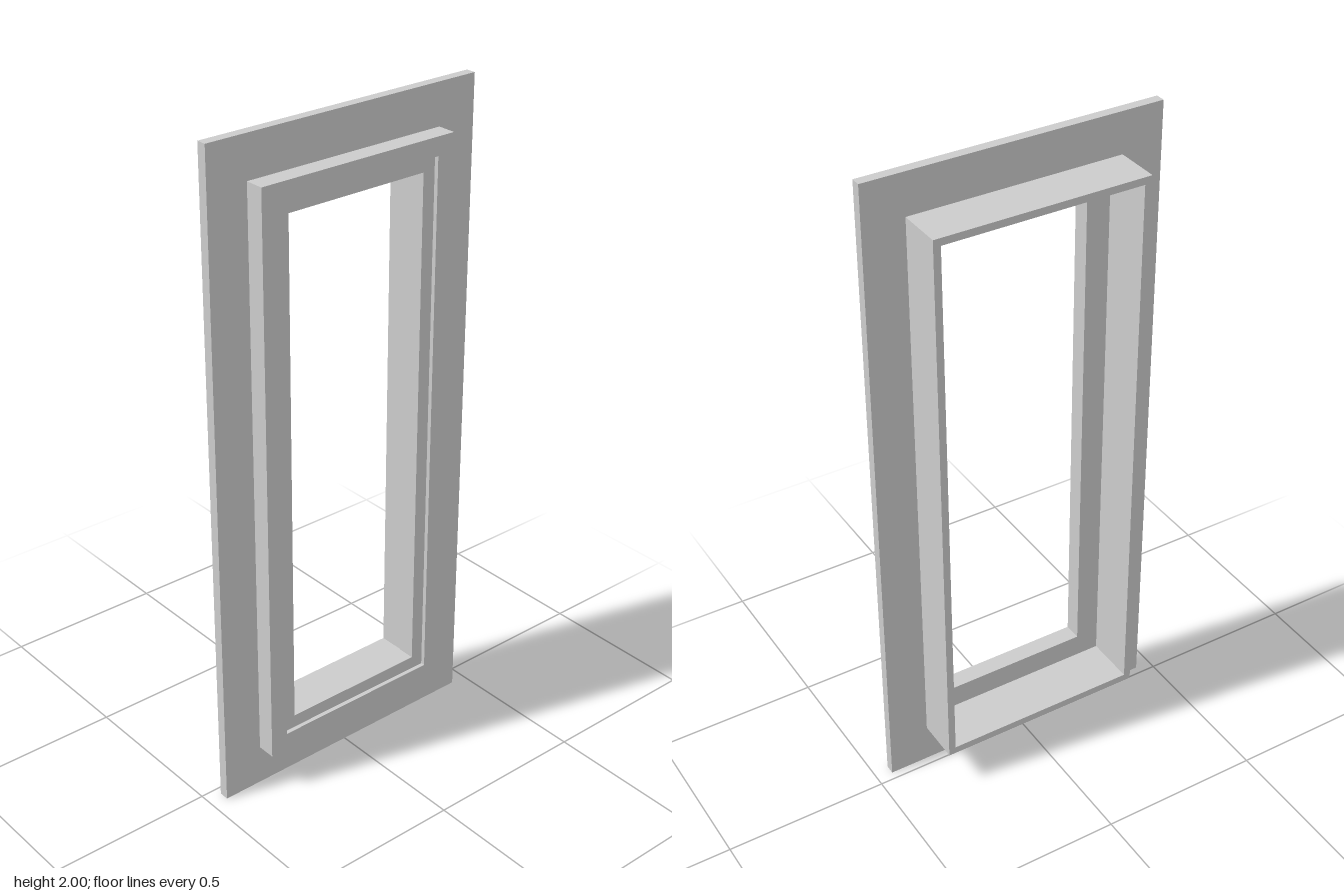
import * as THREE from 'three';

const MID_Y = 1; // height of the frame's centre
const EXTRA = 0.55; // how much taller than wide every rectangle is (half sizes)

// Sweeps a profile of [x, half width] points round the four mitred corners of a rectangle
function sweepRectangle(profile, closed) {
  const signs = [[1, 1], [-1, 1], [-1, -1], [1, -1]];
  const corner = ([x, r], k) => {
    const [sz, sy] = signs[k % 4];
    return [x, MID_Y + sy * (r + EXTRA), sz * r];
  };
  const positions = [];
  const count = closed ? profile.length : profile.length - 1;
  for (let i = 0; i < count; i++) {
    const p = profile[i], q = profile[(i + 1) % profile.length];
    for (let k = 0; k < 4; k++) {
      const a = corner(p, k), b = corner(q, k), c = corner(q, k + 1), d = corner(p, k + 1);
      positions.push(...a, ...b, ...c, ...a, ...c, ...d);
    }
  }
  const geometry = new THREE.BufferGeometry();
  geometry.setAttribute('position', new THREE.Float32BufferAttribute(positions, 3));
  geometry.computeVertexNormals();
  return geometry;
}

export function createModel() {
  const group = new THREE.Group();
  group.name = 'windowFrame';
  const material = new THREE.MeshStandardMaterial({ color: 0xcccccc });
  const add = (name, profile, closed) => {
    const mesh = new THREE.Mesh(sweepRectangle(profile, closed), material);
    mesh.name = name;
    group.add(mesh);
  };

  // Deep thin-walled sleeve with an inner rim and a shallow rebate on the +x face
  add('sleeve', [
    [-0.113, 0.325], [0.113, 0.325], [0.113, 0.27], [0.1, 0.27],
    [0.1, 0.23], [0.045, 0.23], [0.045, 0.303], [-0.113, 0.303],
  ], true);

  // Flat mounting plate round the sleeve, open where it meets the sleeve wall
  add('flange', [[0.025, 0.325], [0.025, 0.45], [0.055, 0.45], [0.055, 0.325]], false);

  return group;
}
